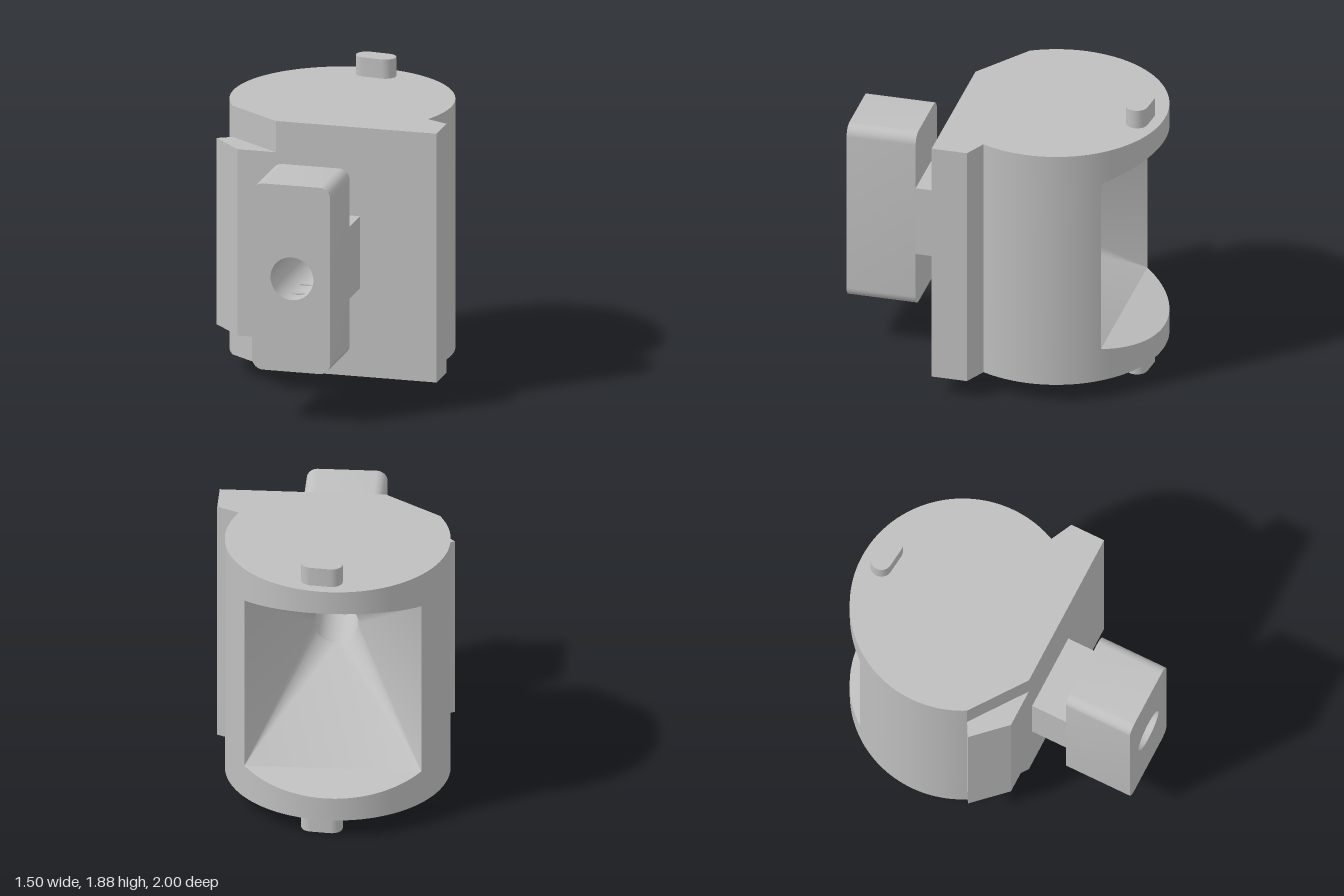
import * as THREE from 'three';
import { toCreasedNormals, mergeVertices } from 'three/addons/utils/BufferGeometryUtils.js';

const CX = -0.035, CZ = -0.29, R = 0.71;      // barrel axis and radius
const MID = 0.945, BORE = 0.14;               // bore height and radius
const LOW = 0.335, HIGH = 1.555;              // middle section
const BACK = -0.73;                           // back opening plane
const rad = THREE.MathUtils.degToRad;

// Points [x, z] along the barrel between two angles in degrees
function arc(from, to, n = 40) {
  return Array.from({ length: n + 1 }, (_, i) => {
    const a = rad(from + (to - from) * i / n);
    return [CX + R * Math.cos(a), CZ + R * Math.sin(a)];
  });
}

// Floor-plan outline of [x, z] points
const plan = pts => new THREE.Shape(pts.map(([x, z]) => new THREE.Vector2(x, -z)));

function prism(pts, y0, y1) {
  const g = new THREE.ExtrudeGeometry(plan(pts), { depth: y1 - y0, bevelEnabled: false });
  return g.rotateX(-Math.PI / 2).translate(0, y0, 0);
}

// Open wall along a polyline of [a, b] points, swept from s0 to s1
function wall(pts, s0, s1, place) {
  const pos = [], idx = [];
  pts.forEach(([a, b], i) => {
    pos.push(...place(a, b, s0), ...place(a, b, s1));
    if (i) { const k = 2 * i; idx.push(k - 2, k, k - 1, k - 1, k, k + 1); }
  });
  return surface(pos, idx);
}

function surface(pos, idx) {
  const g = new THREE.BufferGeometry();
  g.setAttribute('position', new THREE.Float32BufferAttribute(pos, 3));
  g.setIndex(idx);
  return mergeVertices(g);
}

function rect(x0, x1, y0, y1, hole) {
  const s = new THREE.Shape([[x0, y0], [x1, y0], [x1, y1], [x0, y1]].map(p => new THREE.Vector2(...p)));
  if (hole) s.holes.push(hole);
  return s;
}

const ring = (x, y, r) => new THREE.Path().absarc(x, y, r, 0, Math.PI * 2, true);

// Funnel from the rectangular back opening to the round bore
function funnel(x0, x1, y0, y1, z0, z1) {
  const corners = [[x1, y1], [x0, y1], [x0, y0], [x1, y0]];
  const n = 12, pos = [], idx = [];
  corners.forEach(([x, y]) => pos.push(x, y, z0));
  for (let i = 0; i < 4 * n; i++) {
    const a = i / (4 * n) * Math.PI * 2;
    pos.push(BORE * Math.cos(a), MID + BORE * Math.sin(a), z1);
  }
  const at = i => 4 + i % (4 * n);
  for (let q = 0; q < 4; q++) {
    for (let i = 0; i < n; i++) idx.push(q, at(q * n + i), at(q * n + i + 1));
    idx.push(q, at((q + 1) * n), (q + 1) % 4);
  }
  return surface(pos, idx);
}

export function createModel() {
  const model = new THREE.Group();
  const grey = new THREE.MeshStandardMaterial({ color: 0xbfbfbf, side: THREE.DoubleSide });
  grey.name = 'plain grey';
  const add = (name, geometry) => {
    const mesh = new THREE.Mesh(toCreasedNormals(geometry, rad(25)), grey);
    mesh.name = name;
    model.add(mesh);
  };
  const upright = (x, z, y) => [x, y, z];

  // Barrel end plates with the chamfered left corner
  const cut = -Math.asin((CZ - BACK) / R) * 180 / Math.PI;
  const rightArc = arc(cut, 25), leftArc = arc(151, 180 - cut);
  const plate = [...rightArc, [0.75, 0.08], [0.75, 0.31], [-0.30, 0.31], ...leftArc];
  add('topPlate', prism(plate, HIGH, 1.76));
  add('bottomPlate', prism(plate, 0.13, LOW));

  // Back lips, whose inner faces thin out toward the back
  const lipOutline = arc(180 - cut, 360 + cut, 60);
  for (const [name, inner, outer, dir] of [['topLip', 1.535, 1.76, 1], ['bottomLip', 0.355, 0.13, -1]]) {
    const g = prism(lipOutline, Math.min(inner, outer), Math.max(inner, outer));
    const p = g.attributes.position;
    for (let i = 0; i < p.count; i++) {
      if (Math.abs(p.getY(i) - inner) < 0.001) {
        p.setY(i, inner + dir * 0.07 * (BACK - p.getZ(i)) / 0.27);
      }
    }
    add(name, g);
  }

  // Middle section: side walls, front wall and left flange ledges
  add('rightWall', wall([...rightArc, [0.75, 0.08], [0.75, 0.31]], LOW, HIGH, upright));
  add('leftWall', wall([[-0.55, 0.31], [-0.745, 0.105], ...leftArc], LOW, HIGH, upright));
  add('frontWall', new THREE.ShapeGeometry(rect(-0.55, 0.75, LOW, HIGH, ring(0, MID, BORE)), 24)
    .translate(0, 0, 0.31));
  const ledge = [[-0.30, 0.31], [-0.55, 0.31], [-0.745, 0.105], leftArc[0]];
  for (const [name, y, turn] of [['flangeTop', HIGH, -1], ['flangeBottom', LOW, 1]]) {
    const pts = ledge.map(([x, z]) => [x, -turn * z]);
    add(name, new THREE.ShapeGeometry(plan(pts)).rotateX(turn * Math.PI / 2).translate(0, y, 0));
  }

  // Hollow inside and the bore leading to the front
  add('funnel', funnel(rightArc[0][0] - 1.114, rightArc[0][0], 0.355, 1.535, BACK, 0.1));
  add('bore', new THREE.CylinderGeometry(BORE, BORE, 0.9, 48, 1, true)
    .rotateX(Math.PI / 2).translate(0, MID, 0.55));

  // Neck between body and front block
  add('neck', new THREE.ExtrudeGeometry(rect(-0.255, 0.25, 0.71, 1.18, ring(0, MID, BORE)),
    { depth: 0.24, bevelEnabled: false, curveSegments: 24 }).translate(0, 0, 0.31));

  // Front block with rounded corners
  const x0 = -0.26, x1 = 0.25, r = 0.07;
  const outline = [];
  for (const [x, y, start] of [[x1 - r, LOW + r, -90], [x1 - r, HIGH - r, 0], [x0 + r, HIGH - r, 90], [x0 + r, LOW + r, 180]]) {
    for (let i = 0; i <= 8; i++) {
      const a = rad(start + i * 90 / 8);
      outline.push([x + r * Math.cos(a), y + r * Math.sin(a)]);
    }
  }
  add('blockSides', wall(outline, 0.55, 1, (x, y, z) => [x, y, z]));
  for (const [name, z] of [['blockFront', 1], ['blockBack', 0.55]]) {
    const s = new THREE.Shape(outline.map(p => new THREE.Vector2(...p)));
    s.holes.push(ring(0, MID, BORE));
    const g = new THREE.ShapeGeometry(s, 24);
    if (z < 1) g.rotateY(Math.PI).translate(x0 + x1, 0, 0);
    if (z < 1) g.translate(-x0 - x1, 0, 0);
    if (z < 1) g.scale(-1, 1, 1);
    add(name, g.translate(0, 0, z));
  }

  // Block underside with its screw hole
  add('blockUnderside', new THREE.ShapeGeometry(rect(x0 + r, x1 - r, 0.55, 1, ring(0, 0.775, 0.105)), 24)
    .rotateX(Math.PI / 2).translate(0, LOW, 0));
  add('screwHole', new THREE.CylinderGeometry(0.105, 0.105, 0.48, 40, 1, true)
    .translate(0, LOW + 0.24, 0.775));

  // Slot-shaped pivot pins
  const pin = [];
  for (const [x, z, start] of [[0.088, -0.848, -84], [-0.037, -0.861, 96]]) {
    for (let i = 0; i <= 16; i++) {
      const a = rad(start + i * 180 / 16);
      pin.push([x + 0.069 * Math.cos(a), z + 0.069 * Math.sin(a)]);
    }
  }
  add('topPin', prism(pin, 1.75, 1.885));
  add('bottomPin', prism(pin, 0, 0.14));

  return model;
}
